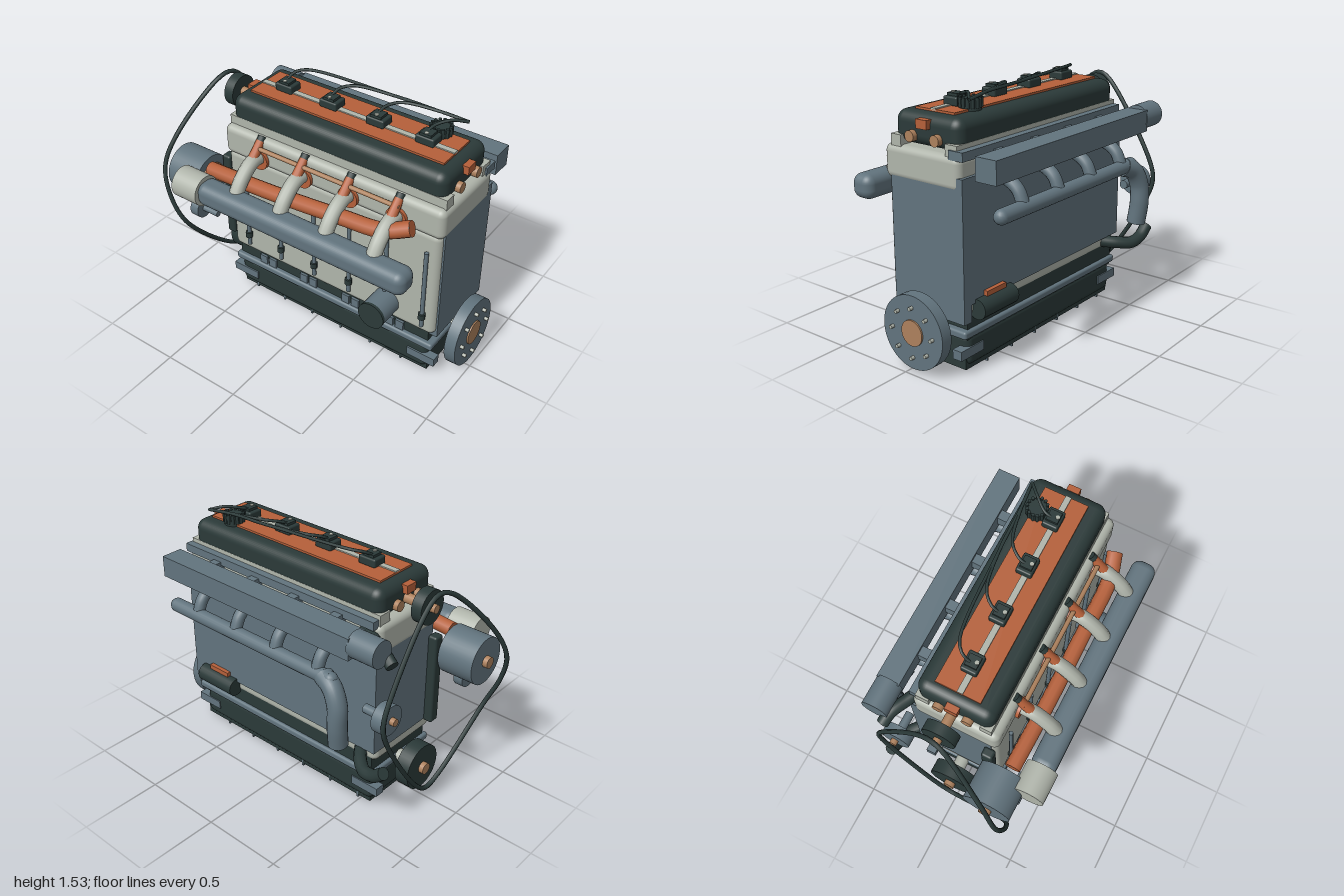
import * as THREE from 'three';
import { RoundedBoxGeometry } from 'three/addons/geometries/RoundedBoxGeometry.js';

export function createModel() {
  const root = new THREE.Group();
  root.name = 'engine';
  const mat = (name, color) => {
    const m = new THREE.MeshStandardMaterial({ color });
    m.name = name;
    return m;
  };
  const dark = mat('dark green grey', 0x2b3a39);
  const steel = mat('blue steel', 0x62747e);
  const light = mat('pale grey', 0xb0b5ab);
  const orange = mat('burnt orange', 0xb5603a);
  const copper = mat('copper', 0xad815d);

  const V = (a) => new THREE.Vector3(...a);
  const add = (name, geo, m) => {
    const mesh = new THREE.Mesh(geo, m);
    mesh.name = name;
    root.add(mesh);
    return mesh;
  };
  // Box given by its ranges in x, y and z; r rounds its edges
  const box = (name, m, [x0, x1], [y0, y1], [z0, z1], r = 0) => {
    const s = [x1 - x0, y1 - y0, z1 - z0];
    const mesh = add(name, r ? new RoundedBoxGeometry(...s, 4, r) : new THREE.BoxGeometry(...s), m);
    mesh.position.set((x0 + x1) / 2, (y0 + y1) / 2, (z0 + z1) / 2);
  };
  // Cylinder from point a to point b
  const rod = (name, m, a, b, r, sides = 24, r2 = r) => {
    const p = V(a), q = V(b), d = q.clone().sub(p);
    const mesh = add(name, new THREE.CylinderGeometry(r2, r, d.length(), sides), m);
    mesh.position.copy(p).add(q).multiplyScalar(0.5);
    mesh.quaternion.setFromUnitVectors(new THREE.Vector3(0, 1, 0), d.normalize());
  };
  const disc = (name, m, x0, x1, y, z, r, sides = 40) => rod(name, m, [x0, y, z], [x1, y, z], r, sides);
  // Bent pipe, with flat round caps where it is open
  const pipe = (name, m, pts, r, closed = false, sides = 12) => {
    const curve = new THREE.CatmullRomCurve3(pts.map(V), closed, 'centripetal');
    add(name, new THREE.TubeGeometry(curve, closed ? 96 : 32, r, sides, closed), m);
    if (closed) return;
    for (const t of [0, 1]) {
      const cap = add(name + 'End', new THREE.CircleGeometry(r, sides), m);
      cap.position.copy(curve.getPointAt(t));
      const dir = curve.getTangentAt(t).multiplyScalar(t ? 1 : -1);
      cap.quaternion.setFromUnitVectors(new THREE.Vector3(0, 0, 1), dir);
    }
  };

  const cz = -0.04; // crank and cam centre line
  const cylinders = [-0.36, -0.045, 0.27, 0.585];

  // Block with steel side panels
  box('block', light, [-0.62, 0.85], [0.33, 1.05], [-0.29, 0.225], 0.04);
  box('blockPanels', steel, [-0.625, 0.86], [0.41, 1.11], [-0.31, 0.19]);
  box('rearAdapter', steel, [0.8, 0.86], [0.31, 0.41], [-0.31, 0.19]);
  box('timingCover', dark, [-0.68, -0.62], [0.4, 0.98], [0.15, 0.22], 0.015);

  // Cylinder head and valve cover
  box('head', light, [-0.63, 0.865], [1.03, 1.22], [-0.29, 0.235], 0.04);
  box('headDeck', light, [-0.61, 0.85], [1.2, 1.275], [-0.27, -0.19]);
  box('headDeck', light, [-0.61, 0.85], [1.2, 1.275], [0.12, 0.19]);
  box('valveCover', dark, [-0.6, 0.83], [1.225, 1.405], [-0.27, 0.19], 0.06);
  box('coverPlate', orange, [-0.53, 0.76], [1.39, 1.417], [-0.18, 0.09]);
  box('coverStrip', light, [-0.53, 0.76], [1.41, 1.424], [-0.05, -0.015]);
  for (const [x0, x1] of [[-0.63, -0.59], [0.82, 0.86]]) {
    box('coverLug', orange, [x0, x1], [1.33, 1.38], [-0.075, 0]);
    for (const z of [0.05, -0.125]) disc('camPlug', copper, x0, x1, 1.28, z, 0.031);
  }

  // Ignition coils and leads
  cylinders.forEach((x, i) => {
    box('coil', dark, [x - 0.058, x + 0.058], [1.415, 1.465], [-0.09, 0.005], 0.01);
    box('coilTop', dark, [x - 0.035, x + 0.035], [1.46, 1.48], [-0.075, -0.005]);
    rod('coilStud', light, [x, 1.42, -0.018], [x, 1.485, -0.018], 0.012, 10);
    const h = 1.515 - i * 0.004, zb = -0.17 - i * 0.008;
    const path = [[x - 0.01, 1.47, -0.05], [x, h - 0.015, -0.1], [x + 0.06, h, zb + 0.02]];
    if (i < 2) path.push([0.25, 1.507, -0.205]);
    if (i < 3) path.push([0.55, 1.5, -0.22]);
    path.push([0.715, 1.485, -0.24]);
    pipe('ignitionLead', dark, path, 0.009, false, 8);
  });

  // Distributor cap with knurled rim
  rod('distributor', dark, [0.6, 1.4, -0.15], [0.6, 1.465, -0.15], 0.06);
  for (let i = 0; i < 14; i++) {
    const a = (i / 14) * Math.PI * 2, x = 0.6 + Math.cos(a) * 0.057, z = -0.15 + Math.sin(a) * 0.057;
    rod('distributorTower', dark, [x, 1.42, z], [x, 1.475, z], 0.01, 8);
  }

  // Oil pan, crankcase and mounting feet
  box('crankcase', dark, [-0.59, 0.81], [0.2, 0.4], [-0.285, 0.2]);
  box('panFlange', steel, [-0.61, 0.85], [0.215, 0.262], [-0.305, 0.23], 0.015);
  box('oilPan', dark, [-0.59, 0.81], [0.035, 0.225], [-0.285, 0.21], 0.04);
  box('panFloor', dark, [-0.575, 0.81], [0.018, 0.08], [-0.27, 0.19]);
  for (let i = 0; i < 6; i++) {
    const x = -0.48 + i * 0.221;
    box('panRib', steel, [x - 0.006, x + 0.006], [0, 0.04], [-0.27, 0.19]);
  }
  for (const [x0, x1] of [[-0.64, -0.45], [0.685, 0.87]])
    for (const [z0, z1] of [[-0.292, -0.23], [0.165, 0.22]])
      box('mountFoot', steel, [x0, x1], [0.1, 0.155], [z0, z1]);
  for (const x of cylinders)
    for (const dx of [-0.035, 0.035])
      box('bearingBolt', steel, [x + dx - 0.027, x + dx + 0.027], [0.25, 0.32], [0.18, 0.215]);

  // Vertical rods with nuts on the front
  for (let i = 0; i < 6; i++) {
    const x = -0.48 + i * 0.252;
    rod('frontRod', steel, [x, 0.395, 0.24], [x, 0.93, 0.24], 0.013, 10);
    rod('rodNut', dark, [x, 0.455, 0.242], [x, 0.492, 0.242], 0.022, 8);
  }

  // Oil filter
  rod('oilFilter', steel, [0.535, 0.45, 0.2], [0.535, 0.45, 0.375], 0.083, 32);
  rod('oilFilterCap', dark, [0.535, 0.45, 0.375], [0.535, 0.45, 0.392], 0.085, 32);

  // Front manifold, throttle body, runners and injectors
  box('frontManifold', steel, [-0.6, 0.825], [0.838, 0.985], [0.41, 0.56], 0.055);
  disc('throttleBody', light, -0.76, -0.575, 0.908, 0.485, 0.096);
  for (const x of cylinders) {
    pipe('frontRunner', light, [[x, 0.93, 0.48], [x, 1.03, 0.41], [x, 1.1, 0.31], [x, 1.1, 0.22]], 0.044);
    rod('runnerFlange', orange, [x, 1.085, 0.22], [x, 1.085, 0.255], 0.065, 24);
    rod('injector', orange, [x, 1.08, 0.335], [x, 1.2, 0.225], 0.034, 12, 0.026);
    rod('injectorCap', dark, [x, 1.19, 0.234], [x, 1.222, 0.205], 0.025, 12);
  }
  disc('fuelRail', copper, -0.38, 0.61, 1.17, 0.26, 0.014, 10);
  pipe('coolantPipe', orange, [[-0.66, 0.95, 0.34], [-0.2, 0.98, 0.35], [0.3, 1.025, 0.35],
    [0.57, 1.055, 0.345], [0.72, 1.11, 0.305]], 0.047, false, 10);

  // Back plenum and its shelf
  box('backPlenum', steel, [-0.6, 0.84], [1.11, 1.24], [-0.515, -0.38]);
  disc('plenumInlet', steel, -0.765, -0.59, 1.185, -0.445, 0.078);
  box('plenumShelf', steel, [-0.6, 0.86], [1.2, 1.25], [-0.315, -0.22]);

  // Back header: four bent runners, log and downpipe
  for (const x of cylinders) {
    box('plenumArm', steel, [x - 0.03, x + 0.03], [1.15, 1.22], [-0.39, -0.28]);
    pipe('backRunner', steel, [[x, 1.07, -0.29], [x, 1.065, -0.38], [x, 1.02, -0.45], [x, 0.93, -0.49]], 0.037);
  }
  disc('headerLog', steel, -0.46, 0.77, 0.93, -0.49, 0.043, 20);
  for (const x of [0.77, -0.46])
    add('headerLogEnd', new THREE.SphereGeometry(0.043, 16, 12), steel).position.set(x, 0.93, -0.49);
  pipe('downpipe', steel, [[-0.4, 0.925, -0.48], [-0.48, 0.89, -0.5], [-0.53, 0.8, -0.515],
    [-0.535, 0.68, -0.52], [-0.53, 0.55, -0.505]], 0.057, false, 20);

  // Water hoses
  pipe('upperHose', dark, [[-0.79, 1.1, -0.39], [-0.72, 1.14, -0.37], [-0.62, 1.15, -0.32], [-0.5, 1.16, -0.26]], 0.036);
  pipe('lowerHose', dark, [[-0.5, 0.38, -0.27], [-0.56, 0.37, -0.35], [-0.64, 0.36, -0.41],
    [-0.72, 0.38, -0.425], [-0.79, 0.435, -0.43]], 0.038);

  // Starter motor
  disc('starter', dark, 0.48, 0.77, 0.375, -0.32, 0.058, 20);
  box('starterLug', orange, [0.54, 0.7], [0.42, 0.46], [-0.335, -0.3]);

  // Pulleys on the right end
  const pulley = (name, m, x0, x1, y, z, r, shaft) => {
    disc(name, m, x0, x1, y, z, r);
    disc(name + 'Hub', copper, x0 - 0.03, x0, y, z, r * 0.25, 16);
    disc(name + 'Shaft', shaft, x1, -0.6, y, z, r * 0.3, 16);
  };
  pulley('crankPulley', dark, -0.77, -0.68, 0.24, cz, 0.14, light);
  pulley('camPulley', dark, -0.77, -0.705, 1.29, cz, 0.1, copper);
  pulley('idler', steel, -0.78, -0.71, 0.745, -0.365, 0.09, steel);
  pulley('tensioner', steel, -0.77, -0.71, 0.66, 0.375, 0.066, steel);
  disc('alternator', steel, -0.915, -0.69, 0.86, 0.305, 0.145);
  disc('alternatorHub', copper, -0.945, -0.91, 0.86, 0.305, 0.035, 16);
  disc('alternatorFace', copper, -0.695, -0.68, 0.86, 0.305, 0.095);

  // Drive belt
  pipe('driveBelt', dark, [[-0.81, 1.375, -0.08], [-0.83, 1.375, 0.02], [-0.95, 1.08, 0.3], [-0.99, 0.88, 0.4],
    [-0.95, 0.7, 0.43], [-0.87, 0.5, 0.4], [-0.81, 0.15, 0.08], [-0.8, 0.1, -0.03],
    [-0.8, 0.17, -0.13], [-0.8, 0.62, -0.42], [-0.8, 0.75, -0.46], [-0.8, 0.87, -0.43]], 0.014, true, 8);

  // Flywheel with bolts
  disc('crankShaft', light, 0.8, 0.91, 0.235, cz, 0.04);
  disc('flywheel', steel, 0.905, 0.975, 0.235, cz, 0.215, 56);
  disc('flywheelHub', copper, 0.97, 0.984, 0.235, cz, 0.075);
  for (let i = 0; i < 8; i++) {
    const a = (i / 8) * Math.PI * 2;
    disc('flywheelBolt', light, 0.97, 0.998, 0.235 + Math.sin(a) * 0.145, cz + Math.cos(a) * 0.145, 0.011, 8);
  }
  return root;
}
